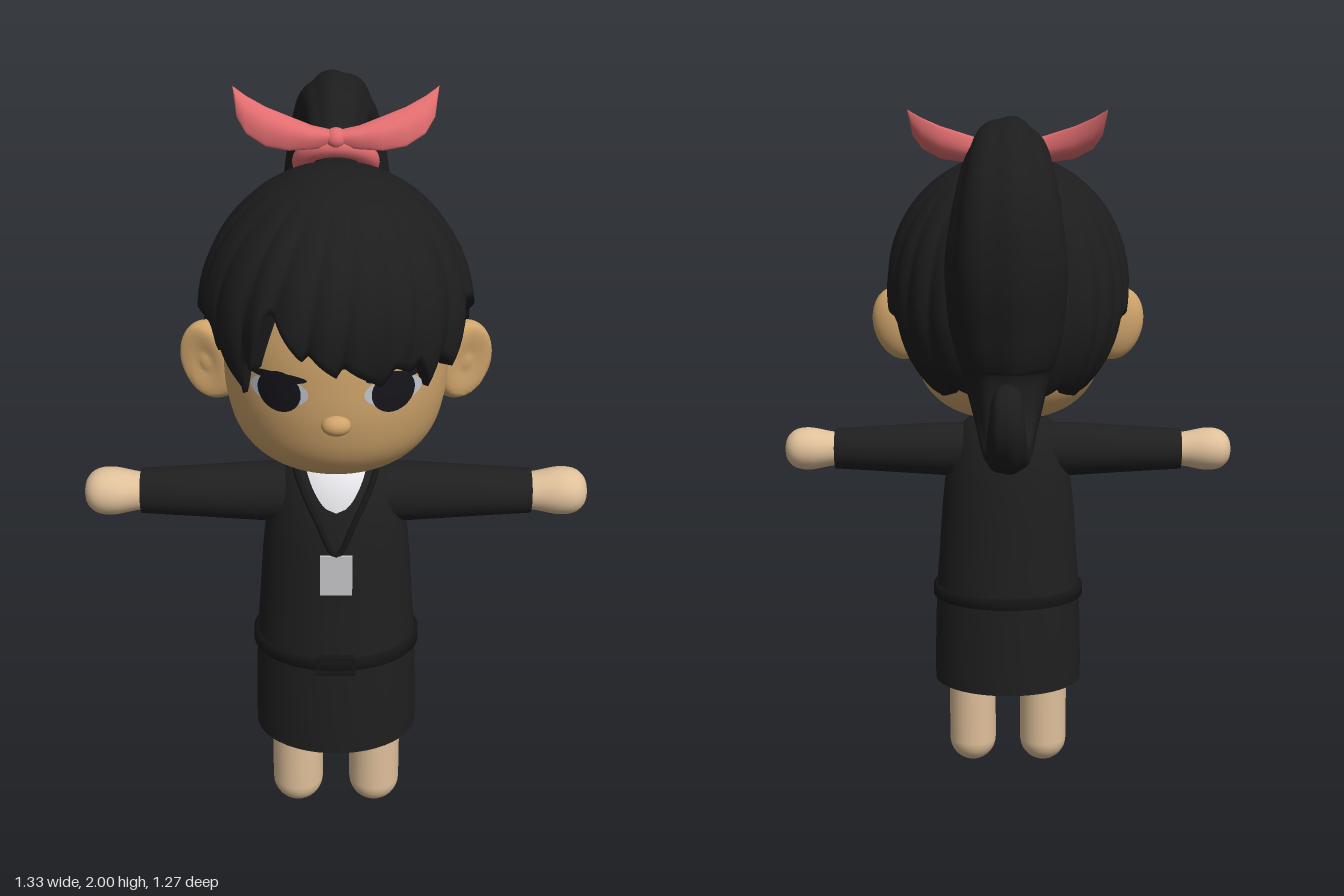
import * as THREE from 'three';

const mat = (name, color, side = THREE.FrontSide) => {
  const m = new THREE.MeshStandardMaterial({ color, side });
  m.name = name;
  return m;
};
const V2 = (x, y) => new THREE.Vector2(x, y);
const V3 = (x, y, z) => new THREE.Vector3(x, y, z);
const CZ = 0.3; // depth of the body axis

// Smooth a short profile of [radius, height] pairs
const smooth = (pts, n = 48) => new THREE.SplineCurve(pts.map(p => V2(...p))).getPoints(n)
  .map(p => V2(Math.max(p.x, 0), p.y));

// Radius of a profile at a height
const radiusAt = (prof) => (y) => {
  for (let i = 1; i < prof.length; i++) {
    const a = prof[i - 1], b = prof[i];
    if (y <= b.y) return a.x + (b.x - a.x) * Math.max(0, (y - a.y) / (b.y - a.y || 1));
  }
  return 0;
};

// Surface through closed rings of points
function loft(rings) {
  const n = rings[0].length, pos = [], idx = [];
  rings.forEach(r => r.forEach(p => pos.push(p.x, p.y, p.z)));
  for (let i = 0; i < rings.length - 1; i++)
    for (let j = 0; j < n; j++) {
      const a = i * n + j, b = i * n + (j + 1) % n;
      idx.push(a, a + n, b, b, a + n, b + n);
    }
  const g = new THREE.BufferGeometry();
  g.setAttribute('position', new THREE.Float32BufferAttribute(pos, 3));
  g.setIndex(idx);
  g.computeVertexNormals();
  return g;
}

// Lay a flat geometry onto the front of a turned form
function wrap(g, rad, squash, off) {
  const p = g.attributes.position;
  for (let i = 0; i < p.count; i++) {
    const x = p.getX(i), r = rad(p.getY(i));
    p.setZ(i, CZ + squash * Math.sqrt(Math.max(0, r * r - x * x)) + off);
  }
  g.computeVertexNormals();
  return g;
}

export function createModel() {
  const M = {
    skin: mat('skin', 0xdfc09a),
    face: mat('face skin', 0xcfa46b),
    hair: mat('black hair', 0x1d1d1d, THREE.DoubleSide),
    cloth: mat('black cloth', 0x1f1f20, THREE.DoubleSide),
    belt: mat('belt black', 0x161616),
    ribbon: mat('coral ribbon', 0xe26d70, THREE.DoubleSide),
    shirt: mat('white shirt', 0xe6e6ea, THREE.DoubleSide),
    badge: mat('badge grey', 0xc6c6c8),
    eyeWhite: mat('eye white', 0xc0c5d0, THREE.DoubleSide),
    pupil: mat('pupil', 0x15151b, THREE.DoubleSide),
  };
  const root = new THREE.Group();
  const add = (name, geo, material, x = 0, y = 0, z = 0) => {
    const m = new THREE.Mesh(geo, material);
    m.name = name;
    m.position.set(x, y, z);
    root.add(m);
    return m;
  };

  // Head
  const headProf = smooth([[0, 1.1], [0.1, 1.108], [0.19, 1.145], [0.25, 1.21], [0.279, 1.3], [0.287, 1.4],
    [0.28, 1.52], [0.24, 1.64], [0.14, 1.73], [0, 1.76]]);
  const faceR = radiusAt(headProf);
  add('head', new THREE.LatheGeometry(headProf, 56), M.face, 0, 0, CZ);
  add('nose', new THREE.SphereGeometry(1, 20, 14), M.face, 0, 1.322, 0.585).scale.set(0.037, 0.026, 0.027);

  // Ears with a pressed-in hollow
  for (const s of [1, -1]) {
    const g = new THREE.SphereGeometry(1, 32, 24), p = g.attributes.position, v = V3();
    const hollow = V3(s * 0.45, 0.05, 0.89).normalize();
    for (let i = 0; i < p.count; i++) {
      v.fromBufferAttribute(p, i);
      const k = THREE.MathUtils.smoothstep(v.dot(hollow), 0.5, 0.9);
      v.multiplyScalar(1 - 0.5 * k);
      p.setXYZ(i, v.x * 0.078, v.y * 0.108, v.z * 0.05);
    }
    g.computeVertexNormals();
    const ear = add(s > 0 ? 'leftEar' : 'rightEar', g, M.face, s * 0.317, 1.378, 0.3);
    ear.rotation.z = -s * 0.25;
  }

  // Eyes
  const disc = (x, y, rx, ry, off) => {
    const g = new THREE.RingGeometry(0.001, 1, 32, 5);
    g.scale(rx, ry, 1).translate(x, y, 0);
    return wrap(g, faceR, 1, off);
  };
  for (const s of [1, -1]) {
    add('eyeWhite', disc(s * 0.138, 1.4, 0.071, 0.038, 0.004), M.eyeWhite);
    add('pupil', disc(s * 0.138, 1.4, 0.053, 0.053, 0.007), M.pupil);
    add('eyelash', disc(s * 0.14, 1.439, 0.07, 0.012, 0.009), M.pupil);
  }

  // Hair cap: [degrees from the front, hem height]
  const back = [[64, 1.52], [72, 1.56], [80, 1.55], [90, 1.5], [98, 1.44], [107, 1.42], [113, 1.23], [122, 1.2],
    [136, 1.21], [148, 1.25], [162, 1.21], [180, 1.23]];
  const hem = [...back.map(([a, y]) => [-a, y]).reverse(), [-62, 1.45], [-56, 1.5], [-46, 1.365], [-41, 1.49],
    [-38, 1.44], [-30, 1.6], [-27, 1.61], [-14, 1.5], [-11, 1.52], [0, 1.46], [3, 1.49], [19, 1.425],
    [24, 1.48], [33, 1.45], [36, 1.48], [45, 1.39], [49, 1.47], [59, 1.42], ...back];
  const hemAt = (deg) => {
    for (let i = 1; i < hem.length; i++) {
      const [a0, y0] = hem[i - 1], [a1, y1] = hem[i];
      if (deg <= a1) return y0 + (y1 - y0) * (deg - a0) / (a1 - a0);
    }
    return hem[hem.length - 1][1];
  };
  const COLS = 288, ROWS = 26, hairRings = [];
  for (let i = 0; i <= ROWS + 1; i++) {
    const v = Math.min(i / ROWS, 1), ring = [];
    for (let j = 0; j < COLS; j++) {
      const deg = -180 + 360 * j / COLS, a = deg * Math.PI / 180;
      const cy = 1.5 + 0.055 * Math.cos(a), up = 1.872 - cy, down = 0.36;
      const h = hemAt(deg) - cy;
      const end = Math.asin(Math.max(-0.95, h / (h > 0 ? up : down)));
      const phi = Math.PI / 2 + (end - Math.PI / 2) * v;
      const y = cy + Math.sin(phi) * (phi > 0 ? up : down);
      // overlapping locks, swept slightly sideways
      const lock = Math.abs(Math.sin(11 * (a + 0.25 * v * Math.cos(a / 2)) + 0.7 * Math.sin(3 * a)));
      const rho = Math.cos(phi) * (1 + 0.045 * v * (lock - 0.6));
      let x = 0.345 * Math.sin(a) * rho, z = 0.257 + 0.38 * Math.cos(a) * rho;
      const d = Math.hypot(x, z - CZ), min = faceR(y) + 0.014;
      if (v > 0.5 && d < min) { x *= min / d; z = CZ + (z - CZ) * min / d; }
      if (i > ROWS) { // hem turned in to the head
        const k = (min - 0.03) / Math.hypot(x, z - CZ);
        x *= k; z = CZ + (z - CZ) * k;
      }
      ring.push(V3(x, y, z));
    }
    hairRings.push(ring);
  }
  add('hairCap', loft(hairRings), M.hair);

  // Swept locks in the side plane: [z, y, half depth, half width]
  const sweep = (keys, steps, groove) => {
    const path = new THREE.CatmullRomCurve3(keys.map(k => V3(0, k[1], k[0])));
    const size = new THREE.CatmullRomCurve3(keys.map(k => V3(k[2], k[3], 0)));
    const rings = [];
    for (let i = 0; i <= steps; i++) {
      const t = i / steps, c = path.getPoint(t), d = path.getTangent(t), s = size.getPoint(t), ring = [];
      for (let j = 0; j < 48; j++) {
        const q = j / 48 * Math.PI * 2, r = 1 - groove * (1 - Math.abs(Math.cos(q * 3.5 + Math.PI / 4)));
        const n = Math.max(s.x, 0.001) * Math.cos(q) * r, w = Math.max(s.y, 0.001) * Math.sin(q) * r;
        ring.push(V3(w, c.y + n * d.z, c.z - n * d.y));
      }
      rings.push(ring);
    }
    return loft(rings);
  };
  add('ponytail', sweep([[0.02, 1.79, 0.05, 0.05], [-0.07, 1.845, 0.065, 0.07], [-0.17, 1.885, 0.098, 0.09],
    [-0.28, 1.86, 0.125, 0.115], [-0.355, 1.76, 0.145, 0.14], [-0.37, 1.62, 0.15, 0.158],
    [-0.335, 1.48, 0.158, 0.15], [-0.31, 1.35, 0.145, 0.12], [-0.37, 1.235, 0.098, 0.085],
    [-0.46, 1.177, 0.052, 0.065], [-0.54, 1.182, 0.046, 0.055], [-0.588, 1.25, 0.043, 0.048],
    [-0.575, 1.322, 0.036, 0.04], [-0.53, 1.338, 0.02, 0.025], [-0.495, 1.325, 0.002, 0.003]], 90, 0.07), M.hair);
  add('ponytailWisp', sweep([[-0.2, 1.45, 0.05, 0.08], [-0.178, 1.35, 0.038, 0.07], [-0.19, 1.26, 0.034, 0.05],
    [-0.235, 1.18, 0.022, 0.03], [-0.315, 1.122, 0.001, 0.002]], 30, 0), M.hair);

  // Hair tie and bow
  const tie = add('hairTie', new THREE.TorusGeometry(0.088, 0.027, 16, 40), M.ribbon, 0, 1.805, -0.012);
  tie.quaternion.setFromUnitVectors(V3(0, 0, 1), V3(0, 0.75, -0.66).normalize());
  add('bowKnot', new THREE.SphereGeometry(1, 20, 14), M.ribbon, 0, 1.885, 0.055).scale.set(0.03, 0.028, 0.032);
  // wing sections: x, low y, low z, high y, high z, half thickness
  const wing = [[0, 1.867, 0.065, 1.903, 0.045, 0.018], [0.06, 1.862, 0.075, 1.915, 0.04, 0.02],
    [0.12, 1.858, 0.075, 1.935, 0.025, 0.022], [0.18, 1.866, 0.062, 1.955, 0.008, 0.018],
    [0.23, 1.893, 0.04, 1.978, -0.012, 0.011], [0.255, 1.93, 0.015, 1.993, -0.024, 0.006],
    [0.266, 1.995, -0.028, 2.0, -0.03, 0.001]];
  for (const s of [1, -1]) {
    const rings = wing.map(([x, y0, z0, y1, z1, th]) => Array.from({ length: 24 }, (_, j) => {
      const q = j / 24 * Math.PI * 2, k = (1 + Math.cos(q)) / 2;
      const w = th * Math.sin(q) * (1 - 0.35 * Math.cos(2 * q));
      return V3(s * x, y0 + (y1 - y0) * k + w * 0.5, z0 + (z1 - z0) * k + w * 0.85);
    }));
    add('bowWing', loft(rings), M.ribbon);
  }

  // Dress
  const DEPTH = 0.81;
  const dressProf = smooth([[0.222, 0.28], [0.222, 0.36], [0.216, 0.56], [0.206, 0.7], [0.195, 0.85],
    [0.18, 0.96], [0.152, 1.05], [0.112, 1.1], [0.07, 1.115]]);
  const dressR = radiusAt(dressProf);
  add('dress', new THREE.LatheGeometry(dressProf, 48), M.cloth, 0, 0, CZ).scale.z = DEPTH;

  // Belt and buckle
  const beltProf = [[0.212, 0.548], [0.226, 0.55], [0.226, 0.582], [0.212, 0.584]].map(p => V2(...p));
  add('belt', new THREE.LatheGeometry(beltProf, 48), M.belt, 0, 0, CZ).scale.z = DEPTH;
  for (const s of [1, -1]) {
    add('buckleBar', new THREE.BoxGeometry(0.104, 0.01, 0.016), M.belt, 0, 0.567 + s * 0.023, 0.481);
    add('buckleSide', new THREE.BoxGeometry(0.01, 0.056, 0.016), M.belt, s * 0.047, 0.567, 0.481);
  }

  // Shirt front showing in the neckline
  const shirt = new THREE.PlaneGeometry(2, 1, 10, 10), sp = shirt.attributes.position;
  for (let i = 0; i < sp.count; i++) {
    const v = sp.getY(i) + 0.5;
    sp.setXY(i, sp.getX(i) * 0.08 * Math.sqrt(v), 1.005 + 0.1 * v);
  }
  add('shirtFront', wrap(shirt, dressR, DEPTH, 0.005), M.shirt);

  // Lanyard and badge
  const cord = new THREE.CatmullRomCurve3([V3(0, 0.895, 0.467), V3(0.05, 0.99, 0.452), V3(0.092, 1.07, 0.4),
    V3(0.108, 1.105, 0.32), V3(0.07, 1.112, 0.215), V3(0, 1.112, 0.19), V3(-0.07, 1.112, 0.215),
    V3(-0.108, 1.105, 0.32), V3(-0.092, 1.07, 0.4), V3(-0.05, 0.99, 0.452)], true);
  add('lanyard', new THREE.TubeGeometry(cord, 80, 0.008, 8, true), M.belt);
  add('badge', new THREE.BoxGeometry(0.084, 0.116, 0.008), M.badge, 0, 0.838, 0.47);

  // Arms, hands and legs
  const sleeve = [[0.08, 0.08], [0.079, 0.2], [0.069, 0.36], [0.06, 0.515], [0.04, 0.515]].map(p => V2(...p));
  const hand = smooth([[0.046, 0.49], [0.052, 0.53], [0.063, 0.59], [0.057, 0.633], [0.034, 0.658], [0, 0.666]], 24);
  for (const s of [1, -1]) {
    const side = s > 0 ? 'left' : 'right';
    for (const [name, prof, m, z] of [['Sleeve', sleeve, M.cloth, 1], ['Hand', hand, M.skin, 1.08]]) {
      const part = add(side + name, new THREE.LatheGeometry(prof, 32), m, 0, 1, CZ);
      part.rotation.z = -s * Math.PI / 2;
      part.scale.z = z;
    }
    add(side + 'Leg', new THREE.CapsuleGeometry(0.071, 0.4, 10, 28), M.skin, s * 0.109, 0.276, CZ);
  }
  return root;
}
